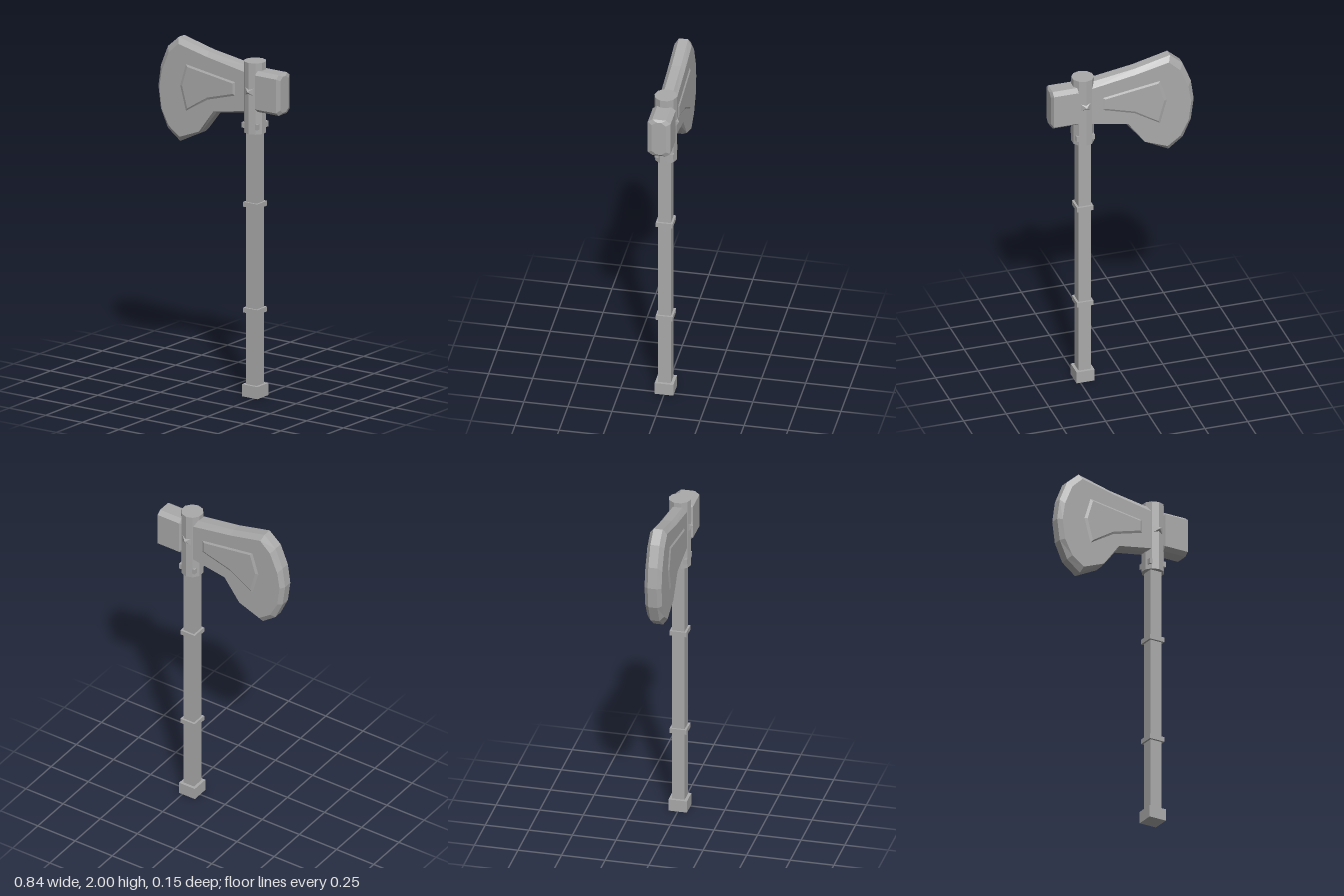
import * as THREE from 'three';

const steel = new THREE.MeshStandardMaterial({ color: 0xaaaaaa, flatShading: true });
steel.name = 'grey steel';

// Solid from counter-clockwise outlines [points, z] stacked along z, capped at both ends
function stack(layers) {
  const pos = [];
  const put = (...corners) => corners.forEach(([p, z]) => pos.push(p[0], p[1], z));
  for (let k = 0; k < layers.length - 1; k++) {
    const [a, za] = layers[k], [b, zb] = layers[k + 1];
    a.forEach((p, i) => {
      const j = (i + 1) % a.length;
      put([p, za], [a[j], za], [b[j], zb]);
      put([p, za], [b[j], zb], [b[i], zb]);
    });
  }
  const cap = ([pts, z], front) => {
    const tris = THREE.ShapeUtils.triangulateShape(pts.map((p) => new THREE.Vector2(...p)), []);
    for (const [i, j, k] of tris) {
      const c = front ? [i, j, k] : [i, k, j];
      put(...c.map((n) => [pts[n], z]));
    }
  };
  cap(layers[0], false);
  cap(layers[layers.length - 1], true);
  const geo = new THREE.BufferGeometry();
  geo.setAttribute('position', new THREE.Float32BufferAttribute(pos, 3));
  geo.computeVertexNormals();
  return geo;
}

export function createModel() {
  const group = new THREE.Group();
  group.name = 'axe';
  const X = 0.22; // axis of the handle

  const add = (name, geo, x = 0, y = 0, z = 0) => {
    const mesh = new THREE.Mesh(geo, steel);
    mesh.name = name;
    mesh.position.set(x, y, z);
    group.add(mesh);
    return mesh;
  };
  const block = (name, half, y0, y1) =>
    add(name, new THREE.BoxGeometry(half * 2, y1 - y0, half * 2), X, (y0 + y1) / 2, 0);

  // Square handle with two bands and a pommel
  block('handle', 0.036, 0.06, 1.55);
  block('lowerBand', 0.048, 0.485, 0.513);
  block('upperBand', 0.048, 1.097, 1.125);
  block('pommel', 0.053, 0, 0.07);

  // Ten-sided socket
  add('socket', new THREE.CylinderGeometry(0.064, 0.064, 0.412, 10), X, 1.734, 0);

  // Blade: narrow rim, bevelled up to the flat cheeks
  const rim = [
    [-0.283, 2.0], [-0.357, 1.935], [-0.405, 1.817], [-0.422, 1.695], [-0.405, 1.568],
    [-0.357, 1.462], [-0.273, 1.399], [-0.135, 1.468], [-0.024, 1.605], [0.2, 1.643],
    [0.2, 1.907], [-0.077, 1.95],
  ];
  const cheek = [
    [-0.27, 1.967], [-0.336, 1.905], [-0.384, 1.79], [-0.4, 1.69], [-0.384, 1.573],
    [-0.336, 1.483], [-0.262, 1.43], [-0.129, 1.482], [-0.03, 1.615], [0.2, 1.655],
    [0.2, 1.875], [-0.072, 1.922],
  ];
  add('blade', stack([[cheek, -0.049], [rim, -0.026], [rim, 0.026], [cheek, 0.049]]));

  // Thin raised panels on both cheeks
  const panel = [
    [-0.22, 1.86], [-0.26, 1.73], [-0.22, 1.585], [-0.07, 1.675], [0.12, 1.73], [0.12, 1.81],
  ];
  const panelTop = [
    [-0.205, 1.845], [-0.24, 1.73], [-0.205, 1.605], [-0.07, 1.69], [0.105, 1.74], [0.105, 1.8],
  ];
  add('frontPanel', stack([[panel, 0.048], [panelTop, 0.055]]));
  add('backPanel', stack([[panelTop, -0.055], [panel, -0.048]]));

  // Hammer poll: chamfered block running along x
  const section = (w, h) => {
    const cw = 0.026, ch = 0.02;
    return [
      [w, -h + ch], [w, h - ch], [w - cw, h], [-w + cw, h],
      [-w, h - ch], [-w, -h + ch], [-w + cw, -h], [w - cw, -h],
    ];
  };
  const small = section(0.04, 0.105), full = section(0.065, 0.118);
  const hammer = add('hammer', stack([[small, 0.252], [full, 0.264], [full, 0.409], [small, 0.42]]));
  hammer.rotation.y = Math.PI / 2;
  hammer.position.y = 1.777;

  // Pyramid studs and small rivets on both sides of the socket
  for (const s of [1, -1]) {
    const stud = new THREE.ConeGeometry(Math.SQRT1_2, 1, 4);
    stud.rotateY(Math.PI / 4);
    stud.rotateX(s * Math.PI / 2);
    stud.scale(0.08, 0.06, 0.03);
    add(s > 0 ? 'frontStud' : 'backStud', stud, X, 1.773, s * 0.061);
    for (const dx of [-0.045, 0.045]) {
      add('rivet', new THREE.BoxGeometry(0.016, 0.032, 0.03), X + dx, 1.572, s * 0.04);
    }
  }
  return group;
}
